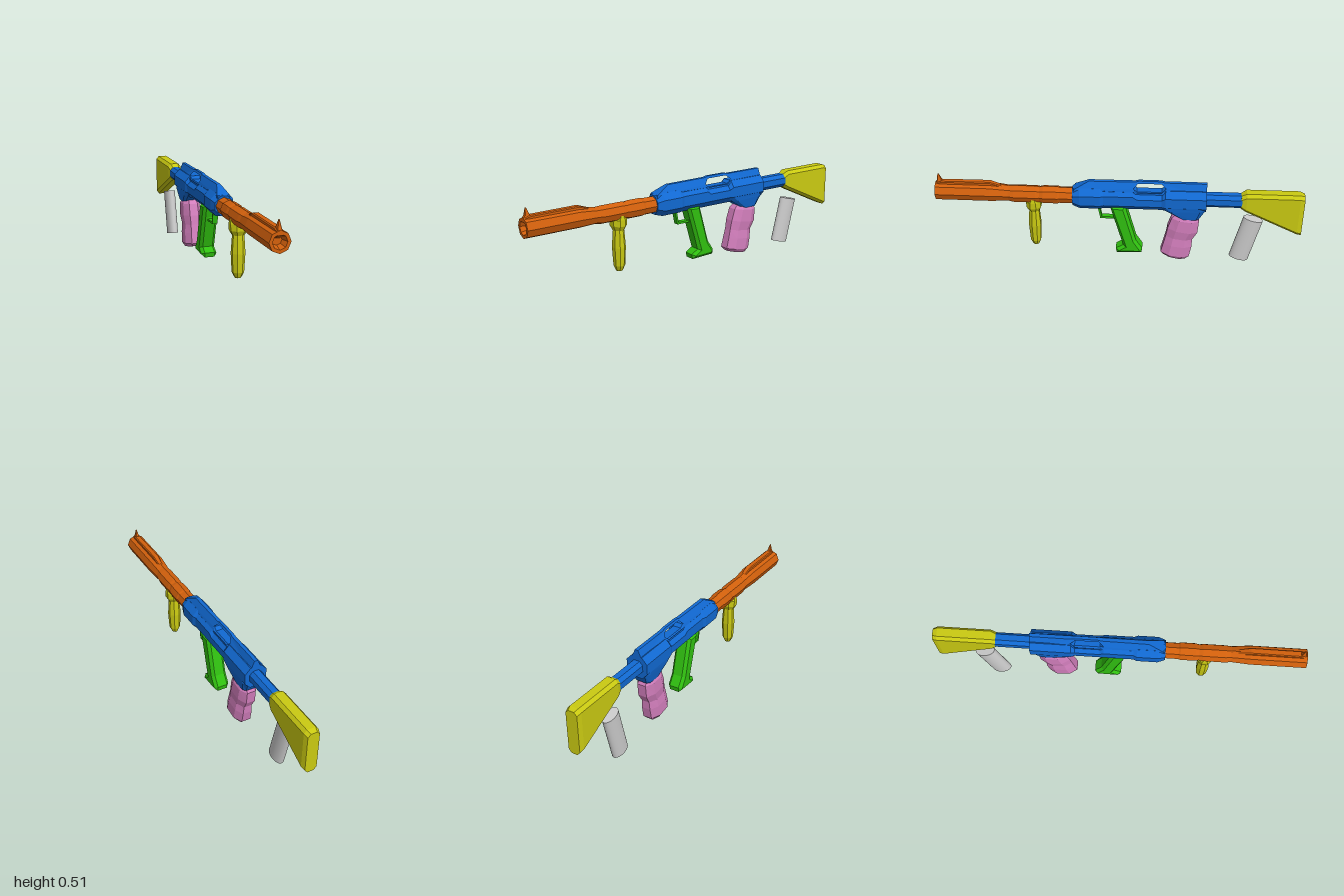
import * as THREE from 'three';

const mat = (color) => new THREE.MeshStandardMaterial({ color, flatShading: true });
const ORANGE = mat(0xd2600c), BLUE = mat(0x1169d2), YELLOW = mat(0xcaca12);
const GREEN = mat(0x30c010), PINK = mat(0xd27ebc);

// Joins equal-length rings of [x, y, z] into a capped solid, turned to face outward
function loft(rings) {
  const n = rings[0].length, tris = [];
  for (let s = 0; s < rings.length - 1; s++) {
    for (let i = 0; i < n; i++) {
      const j = (i + 1) % n, a = rings[s], b = rings[s + 1];
      tris.push([a[i], a[j], b[j]], [a[i], b[j], b[i]]);
    }
  }
  const first = rings[0], last = rings[rings.length - 1];
  for (let i = 1; i < n - 1; i++) {
    tris.push([first[0], first[i + 1], first[i]], [last[0], last[i], last[i + 1]]);
  }
  let volume = 0;
  for (const [a, b, c] of tris) {
    volume += new THREE.Vector3(...a).dot(new THREE.Vector3(...b).cross(new THREE.Vector3(...c)));
  }
  const pos = tris.flatMap(([a, b, c]) => (volume > 0 ? [a, b, c] : [a, c, b]).flat());
  const g = new THREE.BufferGeometry();
  g.setAttribute('position', new THREE.Float32BufferAttribute(pos, 3));
  g.computeVertexNormals();
  return g;
}

// Rectangle with cut corners, in unit-free u/v
const cutRect = (u, v0, v1, cu, cv) => [
  [u, v0 + cv], [u, v1 - cv], [u - cu, v1], [cu - u, v1],
  [-u, v1 - cv], [-u, v0 + cv], [cu - u, v0], [u - cu, v0],
];
// Upright section at depth z
const upright = (z, hw, y0, y1, cx, cy) => cutRect(hw, y0, y1, cx, cy).map(([x, y]) => [x, y, z]);
// Lying section running from front point (z, y) to back point (z, y)
const lying = (zf, yf, zb, yb, hw, cut) =>
  cutRect(hw, 0, 1, hw * cut, cut * 0.55).map(([x, t]) => [x, yf + (yb - yf) * t, zf + (zb - zf) * t]);
// Regular octagon standing on a corner
const octagon = (z, r, cy) => Array.from({ length: 8 }, (_, i) => {
  const a = (i * Math.PI) / 4;
  return [r * Math.cos(a), cy + r * Math.sin(a), z];
});

// Extrudes a side profile of [z, y] points across x, optionally with a hole and bevel
function side(points, width, bevel = 0, hole) {
  const path = (p) => p.map(([z, y]) => new THREE.Vector2(-z, y));
  const shape = new THREE.Shape(path(points));
  if (hole) shape.holes.push(new THREE.Path(path(hole)));
  const depth = width - 2 * bevel;
  const g = new THREE.ExtrudeGeometry(shape, {
    depth, bevelEnabled: bevel > 0, bevelThickness: bevel, bevelSize: bevel, bevelOffset: -bevel, bevelSegments: 1,
  });
  return g.translate(0, 0, -depth / 2).rotateY(Math.PI / 2);
}

export function createModel() {
  const model = new THREE.Group();
  const add = (name, geometry, material) => {
    const mesh = new THREE.Mesh(geometry, material);
    mesh.name = name;
    model.add(mesh);
    return mesh;
  };

  // Barrel: stepped rear, thick front, recessed muzzle
  add('barrel', loft([
    [0.22, 0.046, 0.403], [0.32, 0.046, 0.403], [0.33, 0.05, 0.403], [0.41, 0.05, 0.403],
    [0.43, 0.045, 0.403], [0.45, 0.049, 0.403], [0.57, 0.049, 0.403], [0.6, 0.045, 0.405],
    [0.7, 0.054, 0.41], [1, 0.054, 0.41], [1, 0.037, 0.41], [0.96, 0.025, 0.41],
  ].map((s) => octagon(...s))), ORANGE);
  add('barrelRail', loft([
    [0.58, 0.012, 0.42, 0.446], [0.63, 0.014, 0.42, 0.45], [0.7, 0.018, 0.42, 0.474],
    [0.965, 0.018, 0.42, 0.472], [1, 0.015, 0.44, 0.462],
  ].map(([z, w, a, b]) => upright(z, w, a, b, 0.005, 0.005))), ORANGE);
  add('frontSight', loft([
    lying(1, 0.455, 0.96, 0.455, 0.014, 0.2),
    lying(0.99, 0.475, 0.965, 0.475, 0.01, 0.2),
    lying(0.985, 0.51, 0.978, 0.51, 0.002, 0.2),
  ]), ORANGE);

  // Receiver body, waisted in the middle
  add('receiver', loft([
    [0.25, 0.05, 0.35, 0.455], [0.21, 0.062, 0.34, 0.465], [0.1, 0.062, 0.34, 0.465],
    [0.08, 0.054, 0.34, 0.465], [-0.08, 0.054, 0.34, 0.465], [-0.1, 0.054, 0.34, 0.45],
    [-0.235, 0.054, 0.34, 0.45], [-0.255, 0.062, 0.34, 0.465], [-0.475, 0.062, 0.34, 0.465],
  ].map(([z, w, a, b]) => upright(z, w, a, b, 0.031, 0.034))), BLUE);

  // Peaked top ridge with a see-through port
  const ridge = side(
    [[0.245, 0.44], [0.24, 0.458], [0.16, 0.5], [-0.09, 0.502], [-0.11, 0.508], [-0.23, 0.508],
      [-0.25, 0.502], [-0.475, 0.502], [-0.475, 0.44]], 2, 0,
    [[-0.08, 0.468], [-0.105, 0.495], [-0.232, 0.495], [-0.257, 0.475], [-0.232, 0.451], [-0.1, 0.451]]);
  const p = ridge.attributes.position;
  for (let i = 0; i < p.count; i++) {
    const t = THREE.MathUtils.clamp((p.getY(i) - 0.455) / 0.05, 0, 1);
    p.setX(i, p.getX(i) * THREE.MathUtils.lerp(0.036, 0.008, t));
  }
  ridge.computeVertexNormals();
  add('topRidge', ridge, BLUE);

  // Funnel that holds the magazine
  add('magazineWell', loft([
    lying(-0.22, 0.375, -0.475, 0.375, 0.061, 0.25),
    lying(-0.262, 0.343, -0.472, 0.355, 0.057, 0.25),
    lying(-0.34, 0.293, -0.44, 0.293, 0.045, 0.3),
  ]), BLUE);

  // Shoulder stock on its tube
  add('stockTube', loft([-0.46, -0.68].map((z) => upright(z, 0.035, 0.365, 0.44, 0.018, 0.02))), BLUE);
  add('stock', loft([
    [-0.662, 0.034, 0.362, 0.44], [-0.69, 0.04, 0.345, 0.457], [-0.975, 0.04, 0.212, 0.457], [-1, 0.033, 0.202, 0.448],
  ].map(([z, w, a, b]) => upright(z, w, a, b, 0.016, 0.018))), YELLOW);

  // Fore grip hanging from a collar
  const flat = (z, y, w, hz) => lying(z + hz, y, z - hz, y, w, 0.55);
  add('foreGripCollar', loft([
    [0.4, 0.04, 0.006], [0.365, 0.046, 0.04], [0.33, 0.045, 0.04], [0.305, 0.032, 0.028],
  ].map(([y, w, h]) => flat(0.466, y, w, h))), YELLOW);
  add('foreGrip', loft([
    [0.32, 0.027, 0.025], [0.29, 0.03, 0.028], [0.21, 0.035, 0.033], [0.11, 0.03, 0.028], [0.08, 0.016, 0.017],
  ].map(([y, w, h]) => flat(0.466, y, w, h))), YELLOW);

  // Rear grip with flared foot, and trigger guard
  add('rearGrip', side([[0.047, 0.36], [-0.037, 0.36], [-0.098, 0.14], [-0.134, 0.085], [-0.13, 0.058],
    [0.008, 0.053], [0.014, 0.08], [-0.027, 0.105]], 0.088, 0.016), GREEN);
  add('triggerGuard', side([[0.115, 0.345], [0.1, 0.268], [0.02, 0.268], [0.02, 0.345]], 0.03, 0,
    [[0.103, 0.345 - 0.006], [0.092, 0.279], [0.026, 0.279], [0.026, 0.339]]), GREEN);

  // Bulging magazine, leaning forward at the foot
  add('magazine', loft([
    [-0.315, 0.31, -0.425, 0.3, 0.04], [-0.293, 0.29, -0.442, 0.272, 0.05], [-0.272, 0.225, -0.436, 0.2, 0.052],
    [-0.263, 0.172, -0.41, 0.152, 0.046], [-0.252, 0.125, -0.408, 0.105, 0.051], [-0.237, 0.065, -0.396, 0.04, 0.052],
    [-0.252, 0.045, -0.375, 0.018, 0.038],
  ].map((s) => lying(...s, 0.5))), PINK);

  // Separate oval canister under the stock
  const canister = add('canister', new THREE.CylinderGeometry(1, 1, 0.266, 40),
    new THREE.MeshStandardMaterial({ color: 0xcccccc }));
  canister.geometry.scale(0.032, 1, 0.055);
  canister.position.set(-0.02, 0.146, -0.708);
  canister.rotation.x = -0.24;

  return model;
}
